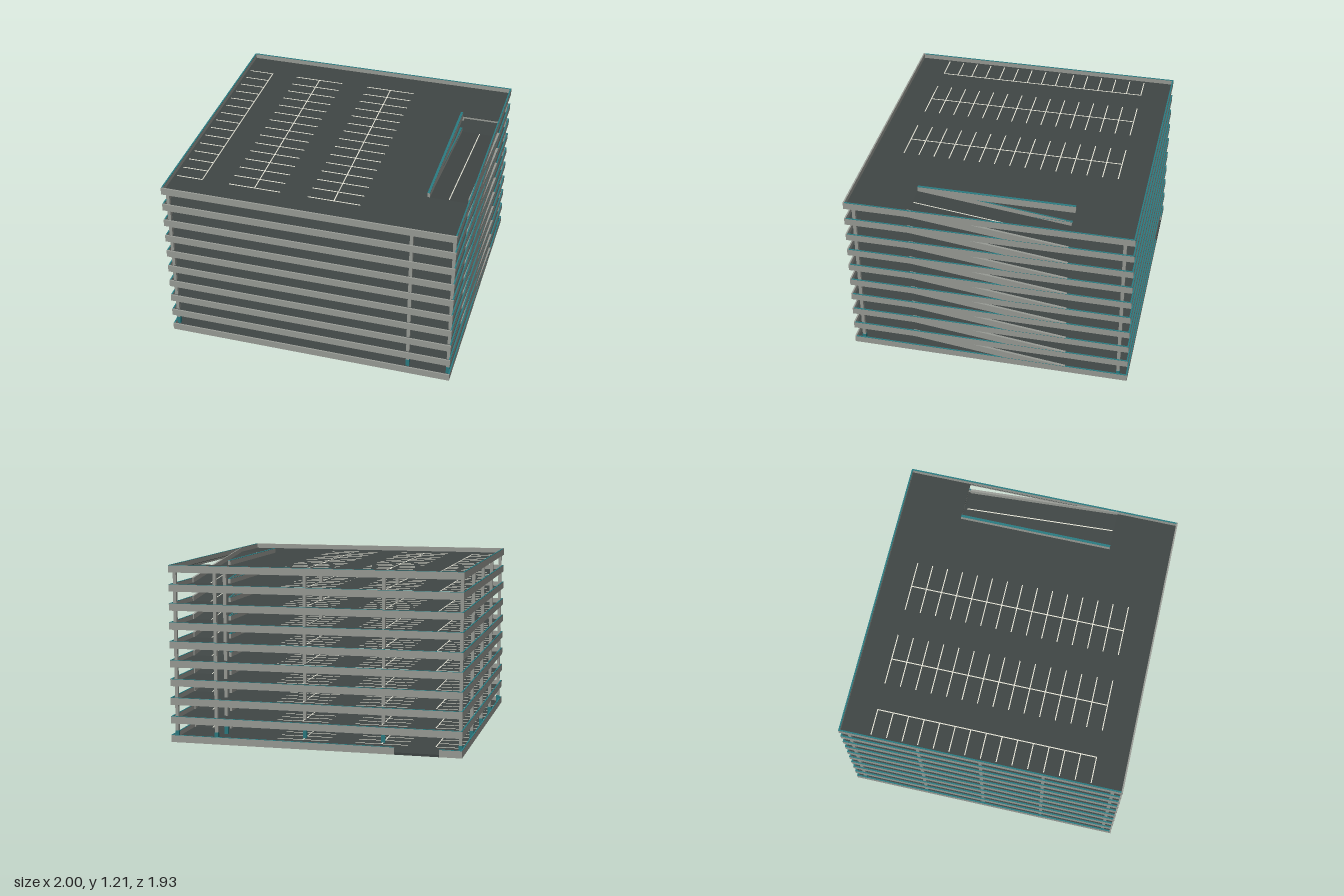
import * as THREE from 'three';

const LEVELS = 10, PITCH = 1.16 / 9, BAND = 0.05, SLAB = 0.013, FLOOR = 0.016;
const HX = 1, HZ = 0.965, WALL = 0.01, CAP = 0.002;
const RAMP = { x0: 0.715, x1: 0.985, half: 0.535 };

const mat = (name, color) => {
  const m = new THREE.MeshStandardMaterial({ color });
  m.name = name;
  return m;
};

export function createModel() {
  const concrete = mat('concrete', 0x9a9d97);
  const asphalt = mat('asphalt', 0x404645);
  const teal = mat('teal', 0x2a7c82);
  const paint = mat('linePaint', 0xf0efe0);

  const model = new THREE.Group();
  model.name = 'parkingGarage';

  // Box given by its bounds; slope lifts it by z
  function box(parent, name, material, x0, x1, y0, y1, z0, z1, slope = 0) {
    const g = new THREE.BoxGeometry(x1 - x0, y1 - y0, z1 - z0);
    g.translate((x0 + x1) / 2, (y0 + y1) / 2, (z0 + z1) / 2);
    if (slope) {
      const p = g.attributes.position;
      for (let i = 0; i < p.count; i++) p.setY(i, p.getY(i) + p.getZ(i) * slope);
      g.computeVertexNormals();
    }
    const m = new THREE.Mesh(g, material);
    m.name = name;
    parent.add(m);
  }

  // Wall with a thin coloured cap
  function cappedWall(parent, name, x0, x1, z0, z1, cap = teal, slope = 0) {
    box(parent, name, concrete, x0, x1, 0, BAND - CAP, z0, z1, slope);
    box(parent, name + 'Cap', cap, x0, x1, BAND - CAP, BAND, z0, z1, slope);
  }

  // Horizontal plate between two heights, with the ramp opening above ground
  function plate(parent, name, material, y0, y1, open) {
    const x = HX - WALL, z = HZ - WALL;
    const points = list => list.map(p => new THREE.Vector2(...p));
    const s = new THREE.Shape(points([[-x, -z], [x, -z], [x, z], [-x, z]]));
    if (open) {
      const { x0, half: h } = RAMP, x1 = x - 0.001;
      s.holes.push(new THREE.Path(points([[x0, -h], [x0, h], [x1, h], [x1, -h]])));
    }
    const g = new THREE.ExtrudeGeometry(s, { depth: y1 - y0, bevelEnabled: false });
    g.rotateX(-Math.PI / 2);
    g.translate(0, y0, 0);
    const m = new THREE.Mesh(g, material);
    m.name = name;
    parent.add(m);
  }

  // Parking bay markings: cross lines and one spine per row
  function markings(parent) {
    const rows = [[-0.97, -0.79, -0.79], [-0.6, -0.24, -0.42], [-0.05, 0.31, 0.13]];
    const y1 = FLOOR + 0.0015, w = 0.0035;
    for (const [x0, x1, spine] of rows) {
      box(parent, 'baySpine', paint, spine - w, spine + w, FLOOR, y1, -0.753, 0.747);
      for (let i = 0; i < 15; i++) {
        const z = -0.75 + i * 0.107;
        box(parent, 'bayLine', paint, x0, x1, FLOOR, y1 + 0.0003, z - w, z + w);
      }
    }
  }

  for (let k = 0; k < LEVELS; k++) {
    const level = new THREE.Group();
    level.name = 'level' + k;
    level.position.y = k * PITCH;
    model.add(level);

    // Concrete slab with an asphalt surface
    plate(level, 'slab', concrete, 0, SLAB, k > 0);
    plate(level, 'floorSurface', asphalt, SLAB, FLOOR, k > 0);
    markings(level);

    // Perimeter walls
    const zi = HZ - WALL;
    cappedWall(level, 'frontWall', -HX, HX, zi, HZ, concrete);
    cappedWall(level, 'leftWall', HX - WALL, HX, -zi, zi);
    cappedWall(level, 'rightWall', -HX, -HX + WALL, -zi, zi);
    if (k === 0) {
      // Entrance gap in the ground level back wall
      cappedWall(level, 'backWall', -HX, -0.85, -HZ, -zi);
      cappedWall(level, 'backWall', -0.55, HX, -HZ, -zi);
      box(level, 'entranceSill', asphalt, -0.85, -0.55, 0, FLOOR, -HZ, -zi);
    } else {
      cappedWall(level, 'backWall', -HX, HX, -HZ, -zi);
      // Guard beside the ramp opening
      cappedWall(level, 'openingGuard', RAMP.x0 - 0.006, RAMP.x0 + 0.011, -RAMP.half, RAMP.half);
    }

    // Ramp up to the next level
    if (k < LEVELS - 1) {
      const ramp = new THREE.Group();
      ramp.name = 'ramp';
      ramp.position.y = PITCH / 2;
      level.add(ramp);
      const h = RAMP.half, s = PITCH / (2 * h), xi = RAMP.x0 + 0.0105;
      box(ramp, 'rampSlab', concrete, xi, RAMP.x1, 0, SLAB, -h, h, s);
      box(ramp, 'rampSurface', asphalt, xi, RAMP.x1, SLAB, FLOOR, -h, h, s);
      box(ramp, 'rampLine', paint, 0.8515, 0.8585, FLOOR, FLOOR + 0.0015, -0.53, 0.525, s);
      cappedWall(ramp, 'rampInnerGuard', RAMP.x0 + 0.001, xi, -h, h, teal, s);
      cappedWall(ramp, 'rampOuterGuard', RAMP.x1 - 0.002, HX - 0.001, -h, h, concrete, s);
    }
  }

  // Columns through all levels, with teal bases on the ground
  const inner = [-0.695, -0.265, 0.16, 0.59];
  const grid = [
    [-0.98, [-0.9, -0.43, 0, 0.43, 0.9]],
    [-0.42, inner],
    [0.13, inner],
    [0.695, [-0.9, -0.695, 0.59, 0.9]],
    [0.978, [-0.9, 0.9]],
  ];
  const columns = new THREE.Group();
  columns.name = 'columns';
  model.add(columns);
  for (const [x, zs] of grid) {
    for (const z of zs) {
      const r = 0.011, b = 0.0125;
      box(columns, 'column', concrete, x - r, x + r, FLOOR, 9 * PITCH + 0.005, z - r, z + r);
      box(columns, 'columnBase', teal, x - b, x + b, FLOOR, 0.07, z - b, z + b);
    }
  }
  return model;
}
